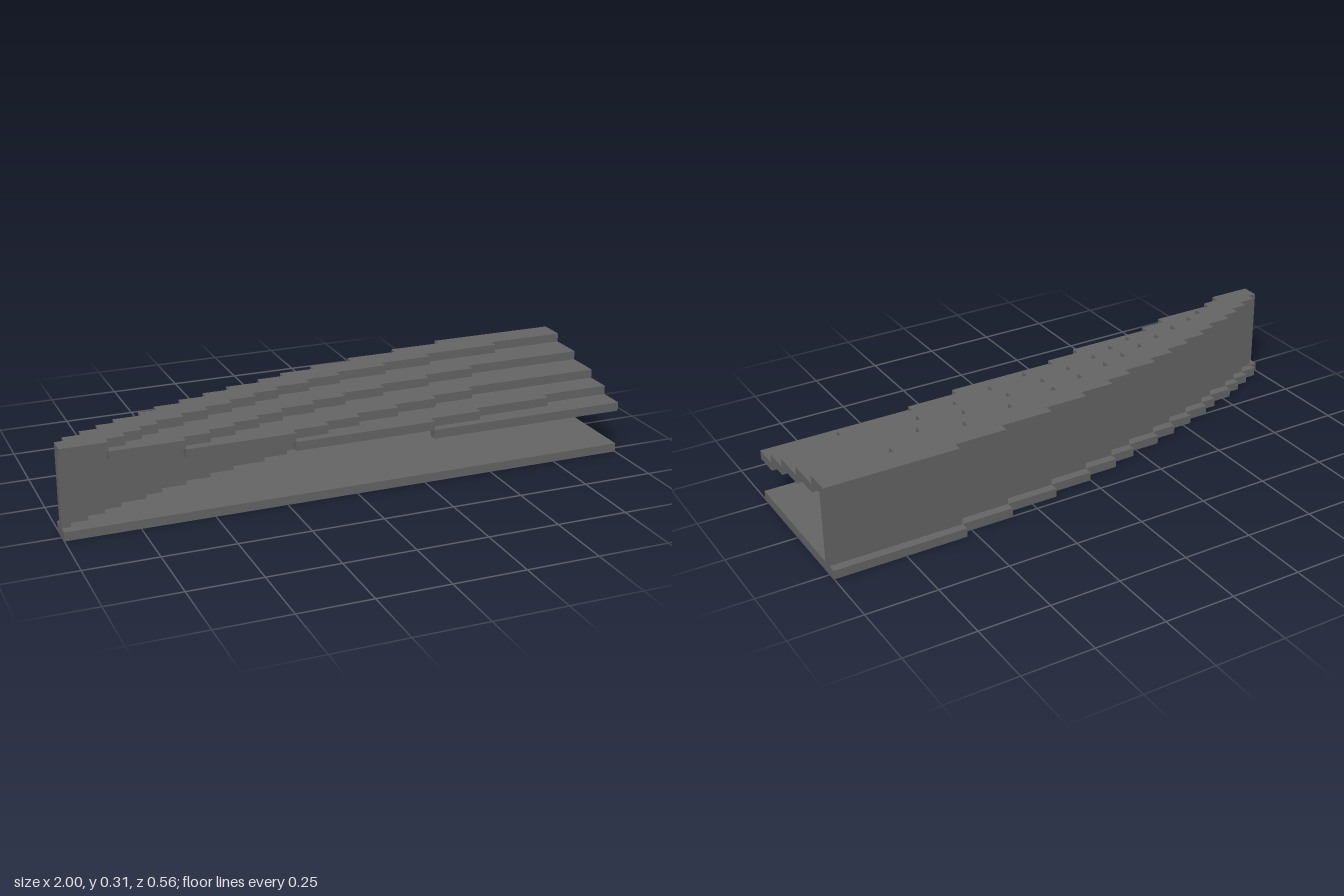
import * as THREE from 'three';

const U = 1 / 32;            // grid cell
const LEN = 64, FRONT = 18;  // length and depth in cells

// Columns where each stepped curve moves one cell further back
const OUTER = [0, 1, 3, 5, 7, 10, 12, 15, 18, 21, 25, 28, 32, 37, 43, 49];
const TIER_EDGES = [
  [5, 7, 9, 11, 14, 17, 20, 23, 26, 30, 34, 40, 46, 55],
  [13, 16, 19, 22, 25, 29, 33, 38, 44, 50],
  [25, 29, 33, 38, 43, 48],
  [41, 47, 56],
];

// Staircase line, starting at the given row
function stairs(columns, row) {
  return columns.flatMap((c, i) => [[c, row - i], [columns[i + 1] ?? LEN, row - i]]);
}

// One-cell-thick plate between a stepped back edge and an optional stepped front edge
function plate(name, material, back, front, level) {
  const frontStart = front.length ? front[0][0] : LEN;
  const outline = [...back, ...[...front].reverse(), [frontStart, FRONT], [back[0][0], FRONT]];
  const shape = new THREE.Shape(
    outline.map(([c, r]) => new THREE.Vector2((c - LEN / 2) * U, (r - FRONT / 2) * U)));
  const geometry = new THREE.ExtrudeGeometry(shape, { depth: U, bevelEnabled: false });
  geometry.rotateX(Math.PI / 2);
  const mesh = new THREE.Mesh(geometry, material);
  mesh.name = name;
  mesh.position.y = (level + 1) * U;
  return mesh;
}

export function createModel() {
  const model = new THREE.Group();
  model.name = 'steppedVault';
  const grey = new THREE.MeshStandardMaterial({ color: 0x666666 });
  grey.name = 'stone grey';

  // Floor, one cell wider than the wall
  model.add(plate('floor', grey, stairs(OUTER, 15), [], 0));

  // Curved wall made of straight panels
  const wall = new THREE.Group();
  wall.name = 'wall';
  OUTER.forEach((c, i) => {
    const end = OUTER[i + 1] ?? LEN;
    const panel = new THREE.Mesh(new THREE.BoxGeometry((end - c) * U, 8 * U, U), grey);
    panel.name = 'wallPanel';
    panel.position.set(((c + end) / 2 - LEN / 2) * U, 5 * U, (16.5 - i - FRONT / 2) * U);
    wall.add(panel);
  });
  model.add(wall);

  // Roof tiers, each one cell lower towards the front
  const roof = new THREE.Group();
  roof.name = 'roof';
  const edges = [stairs(OUTER, 16), ...TIER_EDGES.map((e) => stairs(e, 17)), []];
  for (let i = 0; i < 5; i++) {
    roof.add(plate('roofTier' + (i + 1), grey, edges[i], edges[i + 1], 9 - i));
  }
  model.add(roof);
  return model;
}
